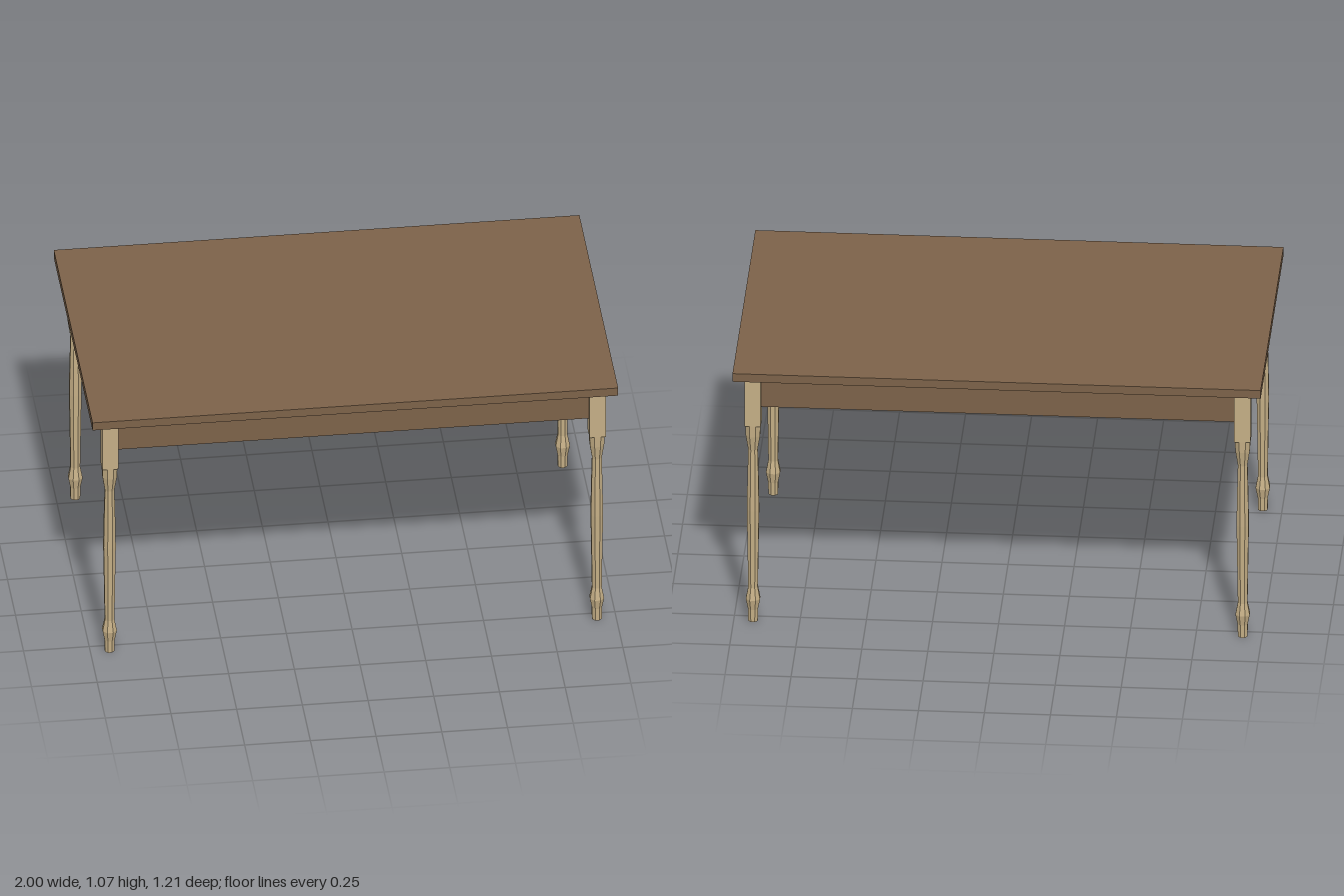
import * as THREE from 'three';

export function createModel() {
  const model = new THREE.Group();
  model.name = 'diningTable';

  const darkWood = new THREE.MeshStandardMaterial({ color: 0x7c6249 });
  darkWood.name = 'darkWood';
  const paleWood = new THREE.MeshStandardMaterial({ color: 0xc4ae85 });
  paleWood.name = 'paleWood';

  const box = (name, material, size, pos, parent = model) => {
    const mesh = new THREE.Mesh(new THREE.BoxGeometry(...size), material);
    mesh.name = name;
    mesh.position.set(...pos);
    parent.add(mesh);
  };

  const legX = 0.927, legZ = 0.534, block = 0.062, under = 1.04;

  // Table top
  box('tableTop', darkWood, [2, 0.034, 1.21], [0, under + 0.017, 0]);

  // Aprons running between the leg blocks
  const apronH = 0.13, apronT = 0.03, apronY = under - apronH / 2;
  for (const s of [1, -1]) {
    box(s > 0 ? 'frontApron' : 'backApron', darkWood,
      [2 * legX - block, apronH, apronT], [0, apronY, s * legZ]);
    box(s > 0 ? 'leftApron' : 'rightApron', darkWood,
      [apronT, apronH, 2 * legZ - block], [s * legX, apronY, 0]);
  }

  // Turned leg: half-width and height of the faceted profile
  const profile = [
    [0, 0], [0.018, 0], [0.019, 0.052], [0.027, 0.094], [0.018, 0.143],
    [0.021, 0.35], [0.023, 0.47], [0.021, 0.6], [0.018, 0.725],
    [0.027, 0.785], [0.029, 0.833],
  ].map(([w, y]) => new THREE.Vector2(w / Math.cos(Math.PI / 8), y));
  const turning = new THREE.LatheGeometry(profile, 8, Math.PI / 8).toNonIndexed();
  turning.computeVertexNormals();

  // Four legs, each a square block over a turned post
  for (const sx of [1, -1]) for (const sz of [1, -1]) {
    const leg = new THREE.Group();
    leg.name = (sz > 0 ? 'front' : 'back') + (sx > 0 ? 'Left' : 'Right') + 'Leg';
    leg.position.set(sx * legX, 0, sz * legZ);
    box('legBlock', paleWood, [block, under - 0.832, block], [0, (under + 0.832) / 2, 0], leg);
    const post = new THREE.Mesh(turning, paleWood);
    post.name = 'turnedPost';
    leg.add(post);
    model.add(leg);
  }
  return model;
}
